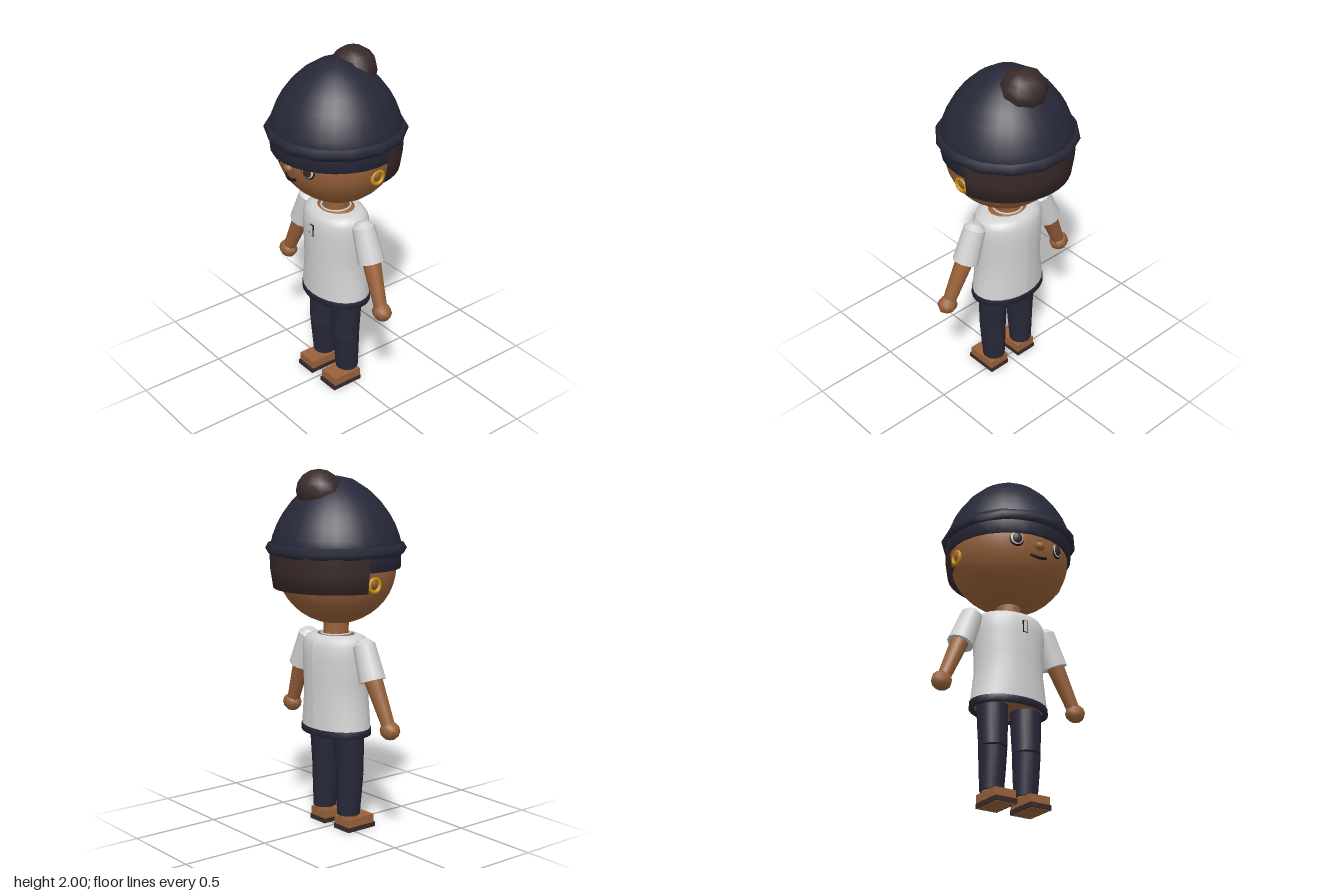
import * as THREE from 'three';

const mat = (name, color) => {
  const m = new THREE.MeshStandardMaterial({ color });
  m.name = name;
  return m;
};

export function createModel() {
  const root = new THREE.Group();
  root.name = 'figure';
  const skin = mat('skin brown', 0x99623a);
  const navy = mat('navy cloth', 0x272838);
  const hair = mat('dark brown hair', 0x392929);
  const white = mat('light shirt', 0xd2d2d2);
  const gold = mat('gold', 0xd2960f);
  const black = mat('dark line', 0x1c1414);
  const hairShell = mat('hair shell', 0x392929);
  hairShell.side = THREE.DoubleSide;

  const add = (name, geo, material, pos = [0, 0, 0], rot = [0, 0, 0], scale = [1, 1, 1]) => {
    const m = new THREE.Mesh(geo, material);
    m.name = name;
    m.position.set(...pos);
    m.rotation.set(...rot);
    m.scale.set(...scale);
    root.add(m);
    return m;
  };
  const ball = (name, material, pos, size, w = 20, h = 14, rot) =>
    add(name, new THREE.SphereGeometry(1, w, h), material, pos, rot, size);

  // Elliptical cross-sections from top to bottom: [y, rx, rz, cx, cz, tilt]
  const loft = (rings, n = 20, open = false) => {
    const k = rings.length - 1;
    const g = new THREE.CylinderGeometry(1, 1, 1, n, k, open, Math.PI);
    const p = g.attributes.position;
    for (let i = 0; i < p.count; i++) {
      const [y, rx, rz, cx = 0, cz = 0, tilt = 0] = rings[Math.round((0.5 - p.getY(i)) * k)];
      const z = p.getZ(i) * rz;
      p.setXYZ(i, cx + p.getX(i) * rx, y + tilt * z, cz + z);
    }
    g.computeVertexNormals();
    return g;
  };

  // Tapered limb from point a (top) to point b
  const limb = (name, material, a, b, ra, rb, n = 12) => {
    const va = new THREE.Vector3(...a), vb = new THREE.Vector3(...b);
    const dir = va.clone().sub(vb);
    const m = add(name, new THREE.CylinderGeometry(ra, rb, dir.length(), n), material);
    m.position.copy(va).add(vb).multiplyScalar(0.5);
    m.quaternion.setFromUnitVectors(new THREE.Vector3(0, 1, 0), dir.normalize());
    return m;
  };

  // Head and neck
  ball('head', skin, [0, 1.48, 0], [0.345, 0.32, 0.318], 28, 20);
  add('neck', loft([[1.19, 0.072, 0.072], [1.14, 0.07, 0.07], [1.06, 0.07, 0.07]], 16), skin);
  ball('nose', skin, [0, 1.425, 0.313], [0.03, 0.025, 0.025], 12, 8);
  const smile = new THREE.QuadraticBezierCurve3(
    new THREE.Vector3(-0.05, 1.372, 0.296),
    new THREE.Vector3(0, 1.342, 0.318),
    new THREE.Vector3(0.05, 1.372, 0.296));
  add('mouth', new THREE.TubeGeometry(smile, 10, 0.008, 6), black);

  // Beanie
  const dome = [[0.33, 1.475], [0.353, 1.47], [0.355, 1.54], [0.355, 1.6], [0.345, 1.64], [0.322, 1.70],
    [0.29, 1.758], [0.24, 1.826], [0.175, 1.888], [0.09, 1.943], [0, 1.962]];
  add('beanie', new THREE.LatheGeometry(dome.map(q => new THREE.Vector2(...q)), 28), navy);
  add('beanieBrim', new THREE.TorusGeometry(0.35, 0.035, 6, 14), navy, [0, 1.574, 0], [Math.PI / 2, 0, 0]);

  // Hair: shell around the back of the head, and a bun on top
  const backHair = [[0.3, 1.375], [0.343, 1.36], [0.358, 1.46], [0.362, 1.555]];
  add('backHair', new THREE.LatheGeometry(backHair.map(q => new THREE.Vector2(...q)), 18, 1.74, 2 * Math.PI - 3.48), hairShell);
  ball('bun', hair, [0, 1.882, -0.117], [0.133, 0.118, 0.124], 10, 8);

  // Torso: body inside, shirt and hem
  add('body', loft([[1.107, 0.07, 0.07], [1.09, 0.14, 0.115], [1.0, 0.18, 0.14], [0.6, 0.19, 0.14],
    [0.565, 0.2, 0.145]], 20), skin);
  const shirt = add('shirt', loft([[1.103, 0.115, 0.095], [1.098, 0.155, 0.12], [1.085, 0.19, 0.145],
    [1.05, 0.207, 0.163], [0.98, 0.208, 0.168], [0.85, 0.201, 0.165], [0.76, 0.2, 0.163],
    [0.66, 0.214, 0.164], [0.58, 0.226, 0.164]], 24, true), white);
  shirt.material = mat('shirt cloth', 0xd2d2d2);
  shirt.material.side = THREE.DoubleSide;
  const hem = add('shirtHem', loft([[0.59, 0.222, 0.161], [0.585, 0.229, 0.167], [0.55, 0.231, 0.167],
    [0.55, 0.205, 0.148], [0.57, 0.2, 0.145]], 24, true), mat('hem cloth', 0x272838));
  hem.material.side = THREE.DoubleSide;
  add('necklace', new THREE.TorusGeometry(0.082, 0.005, 6, 20), white, [0, 1.106, 0], [Math.PI / 2, 0, 0]);
  add('placketEdge', new THREE.BoxGeometry(0.03, 0.07, 0.006), black, [0, 0.998, 0.167]);
  add('placket', new THREE.BoxGeometry(0.024, 0.064, 0.008), white, [0, 0.998, 0.168]);

  for (const s of [1, -1]) {
    const side = s > 0 ? 'left' : 'right';

    // Eyes, ears and hoops
    ball(side + 'EyeRim', black, [s * 0.13, 1.45, 0.281], [0.045, 0.048, 0.014], 18, 12, [0, s * 0.35, 0]);
    ball(side + 'EyeWhite', white, [s * 0.13, 1.45, 0.281], [0.041, 0.044, 0.018], 18, 12, [0, s * 0.35, 0]);
    ball(side + 'Iris', hair, [s * 0.13, 1.45, 0.284], [0.032, 0.037, 0.02], 18, 12, [0, s * 0.35, 0]);
    ball(side + 'Ear', skin, [s * 0.328, 1.412, -0.012], [0.018, 0.028, 0.025], 10, 8);
    add(side + 'Hoop', new THREE.TorusGeometry(0.036, 0.01, 8, 16), gold,
      [s * 0.335, 1.403, -0.012], [0, Math.PI / 2, 0]);

    // Sleeve with a peaked shoulder cap, arm and hand
    limb(side + 'Sleeve', white, [s * 0.238, 1.07, 0], [s * 0.309, 0.883, 0], 0.062, 0.074);
    limb(side + 'ShoulderCap', white, [s * 0.228, 1.098, 0], [s * 0.238, 1.07, 0], 0.03, 0.062);
    limb(side + 'Arm', skin, [s * 0.3, 0.92, 0], [s * 0.42, 0.65, 0.02], 0.052, 0.036);
    ball(side + 'Hand', skin, [s * 0.43, 0.632, 0.02], [0.06, 0.053, 0.051], 8, 6);

    // Trouser legs, split by a narrow slit at the knee
    const x = s * 0.106;
    add(side + 'Thigh', loft([[0.59, 0.086, 0.085, x, 0.003], [0.45, 0.082, 0.08, x, 0.008],
      [0.332, 0.076, 0.078, x, 0.012]], 18), navy);
    add(side + 'Shin', loft([[0.329, 0.077, 0.077, x, 0.011, -0.1], [0.2, 0.071, 0.07, x, 0.007],
      [0.092, 0.064, 0.064, x, 0.003]], 18), navy);

    // Ankle and shoe
    add(side + 'Ankle', loft([[0.12, 0.05, 0.05, x, 0], [0.06, 0.054, 0.052, x, 0]], 14), skin);
    add(side + 'Shoe', new THREE.BoxGeometry(0.126, 0.048, 0.18), skin, [x, 0.051, 0.045]);
    add(side + 'Sole', new THREE.BoxGeometry(0.13, 0.026, 0.195), hair, [x, 0.015, 0.048]);
    add(side + 'SoleBottom', new THREE.BoxGeometry(0.116, 0.004, 0.18), skin, [x, 0.002, 0.048]);
  }
  return root;
}
